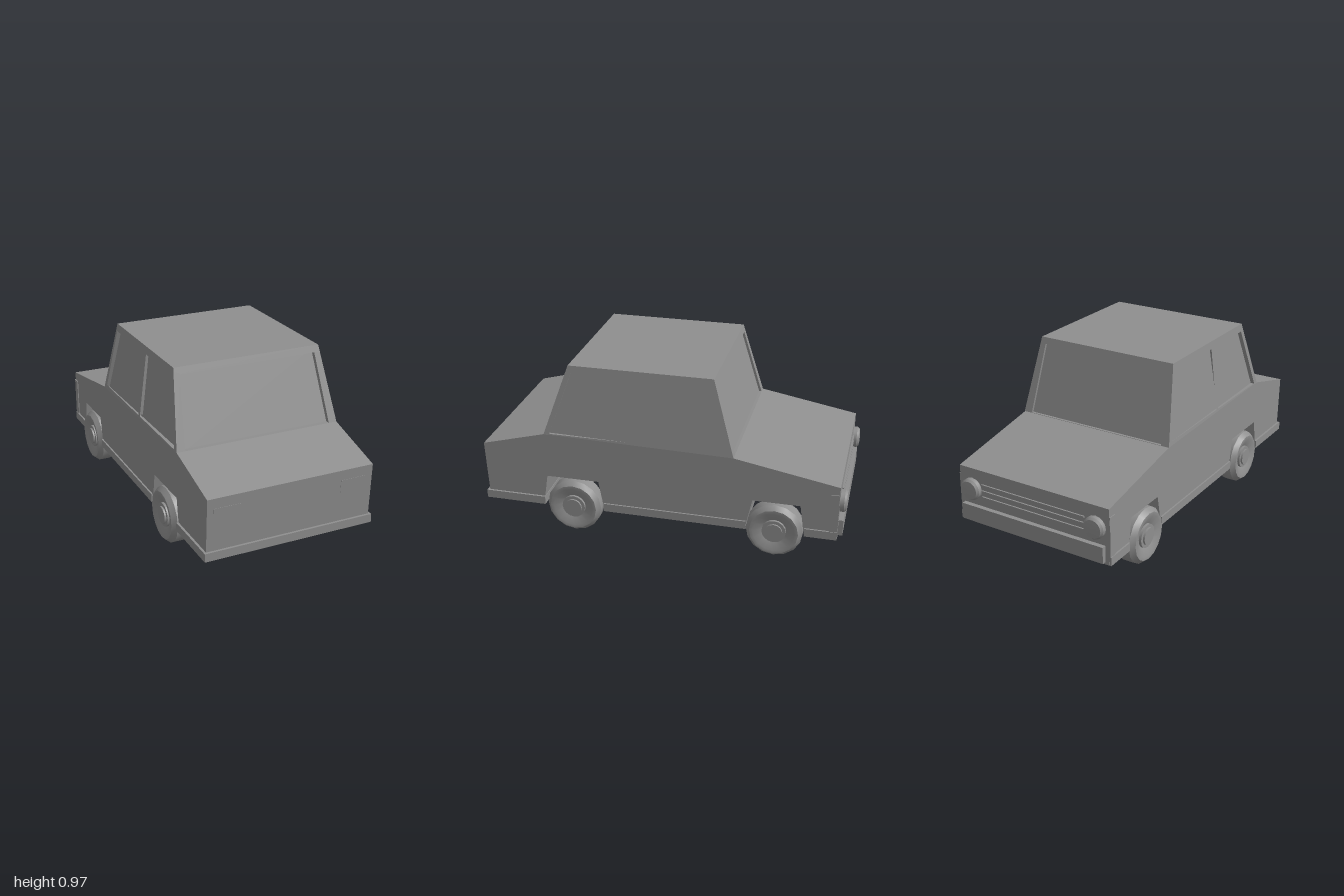
import * as THREE from 'three';
import { toCreasedNormals } from 'three/addons/utils/BufferGeometryUtils.js';

const mat = new THREE.MeshStandardMaterial({ color: 0x8f8f8f });
const lerp = THREE.MathUtils.lerp;

// Cabin surfaces lean inward between the waist and the roof
const lean = (low, high) => (y) => lerp(low, high, (y - 0.575) / 0.395);
const sideX = lean(0.463, 0.415);
const frontZ = lean(0.645, 0.505);
const rearZ = lean(-0.394, -0.28);

const toShape = (pts) => new THREE.Shape(pts.map(([a, b]) => new THREE.Vector2(a, b)));
const flipZ = (pts) => pts.map(([z, y]) => [-z, y]);

function add(group, name, geometry, x = 0, y = 0, z = 0) {
  const mesh = new THREE.Mesh(geometry, mat);
  mesh.name = name;
  mesh.position.set(x, y, z);
  group.add(mesh);
  return mesh;
}

// Moves every vertex by a rule, then refreshes the flat normals
function remap(geometry, rule) {
  const p = geometry.attributes.position;
  const v = new THREE.Vector3();
  for (let i = 0; i < p.count; i++) {
    rule(v.fromBufferAttribute(p, i));
    p.setXYZ(i, v.x, v.y, v.z);
  }
  geometry.computeVertexNormals();
  return geometry;
}

// Side profile [z, y] swept across the car, with half width given by height
function sweep(profile, halfWidth) {
  const g = new THREE.ExtrudeGeometry(toShape(flipZ(profile)), { depth: 2, bevelEnabled: false });
  g.translate(0, 0, -1).rotateY(Math.PI / 2);
  return remap(g, (v) => { v.x *= halfWidth(v.y); });
}

// Flat panel with window openings
function panel(outline, holes, depth) {
  const shape = toShape(outline);
  shape.holes = holes.map(toShape);
  return new THREE.ExtrudeGeometry(shape, { depth, bevelEnabled: false });
}

// Round part from a [radius, height] profile, smooth around and sharp at its rims
function turned(profile) {
  const g = new THREE.LatheGeometry(profile.map(([r, h]) => new THREE.Vector2(r, h)), 16);
  return toCreasedNormals(g, 0.6);
}

export function createModel() {
  const car = new THREE.Group();
  car.name = 'car';

  // Lower body with the wheel arches cut through
  add(car, 'body', sweep([
    [0.985, 0.15], [1.0, 0.48], [0.645, 0.575], [-0.39, 0.558], [-0.96, 0.455], [-0.96, 0.15],
    [-0.785, 0.15], [-0.76, 0.32], [-0.505, 0.32], [-0.47, 0.15],
    [0.315, 0.15], [0.345, 0.32], [0.638, 0.32], [0.665, 0.15],
  ], () => 0.463));

  // Sills, bumpers, rear corner guards and front indicators
  add(car, 'sill', new THREE.BoxGeometry(0.944, 0.046, 0.79), 0, 0.168, -0.079);
  add(car, 'frontBumper', new THREE.BoxGeometry(0.95, 0.046, 0.345), 0, 0.168, 0.8275);
  add(car, 'rearSkirt', new THREE.BoxGeometry(0.944, 0.046, 0.172), 0, 0.168, -0.873);
  add(car, 'rearBumper', new THREE.BoxGeometry(0.88, 0.09, 0.026), 0, 0.205, -0.972);
  for (const s of [-1, 1]) {
    add(car, 'cornerGuard', new THREE.BoxGeometry(0.01, 0.22, 0.045), s * 0.463, 0.3, -0.937);
    const indicator = add(car, 'indicator', new THREE.BoxGeometry(0.15, 0.07, 0.01), s * 0.355, 0.39, 0.9925);
    indicator.rotation.x = 0.045;
  }

  // Recessed glass block and roof
  const t = 0.026;
  const rearT = 0.014;
  add(car, 'glass', sweep([
    [frontZ(0.55) - t, 0.55], [frontZ(0.95) - t, 0.95], [rearZ(0.95) + rearT, 0.95], [rearZ(0.55) + rearT, 0.55],
  ], (y) => sideX(y) - t));
  add(car, 'roof', sweep([
    [frontZ(0.935), 0.935], [0.505, 0.97], [-0.28, 0.97], [rearZ(0.935), 0.935],
  ], sideX));

  // Side window frames; the centre pillar flares forward at its inner foot
  const sideOutline = flipZ([[0.645, 0.575], [frontZ(0.94), 0.94], [rearZ(0.94), 0.94], [-0.39, 0.558]]);
  const sideHoles = [
    [[0.612, 0.58], [0.49, 0.928], [0.155, 0.928], [0.15, 0.58]],
    [[0.13, 0.58], [0.13, 0.928], [-0.274, 0.928], [-0.362, 0.58]],
  ].map(flipZ);
  const sideT = t + 0.003;
  for (const s of [-1, 1]) {
    const g = panel(sideOutline, sideHoles, sideT).rotateY(Math.PI / 2);
    add(car, 'sideWindowFrame', remap(g, (v) => {
      const inner = s > 0 ? v.x < 0.01 : v.x > 0.01;
      if (inner && v.y < 0.6 && Math.abs(v.z - 0.15) < 0.005) v.z = 0.186;
      v.x += s > 0 ? sideX(v.y) - sideT : -sideX(v.y);
    }));
  }

  // Front and rear window frames
  for (const [name, edgeZ, low, depth, shift] of [
    ['windscreenFrame', frontZ, 0.573, t, -t],
    ['rearWindowFrame', rearZ, 0.557, rearT, 0],
  ]) {
    const outline = [[-sideX(low), low], [sideX(low), low], [sideX(0.95), 0.95], [-sideX(0.95), 0.95]];
    const hole = [[-0.416, low + 0.002], [0.416, low + 0.002], [0.385, 0.94], [-0.385, 0.94]];
    add(car, name, remap(panel(outline, [hole], depth), (v) => { v.z += edgeZ(v.y) + shift; }));
  }

  // Round lamps and thin grille bars
  const lamp = turned([[0, -0.01], [0.06, -0.01], [0.06, 0.022], [0.05, 0.034], [0.025, 0.037], [0, 0.038]]);
  lamp.rotateX(-Math.PI / 2);
  for (const s of [-1, 1]) add(car, 'lamp', lamp, s * 0.384, 0.34, -0.96);
  for (const y of [0.305, 0.34, 0.375]) {
    add(car, 'grilleBar', new THREE.BoxGeometry(0.64, 0.009, 0.016), 0, y, -0.96);
  }

  // Wheels: chamfered tyre, dished rim and raised hub, turned about x
  const wheel = turned([
    [0, -0.06], [0.13, -0.06], [0.153, -0.034], [0.153, 0.032], [0.131, 0.058], [0.112, 0.058],
    [0.065, 0.036], [0.065, 0.05], [0.047, 0.05], [0.047, 0.06], [0, 0.06],
  ]);
  wheel.rotateZ(-Math.PI / 2);
  const axle = new THREE.CylinderGeometry(0.02, 0.02, 0.8, 10).rotateZ(Math.PI / 2);
  for (const [end, z] of [['front', 0.488], ['rear', -0.627]]) {
    add(car, end + 'Axle', axle, 0, 0.155, z);
    for (const s of [-1, 1]) {
      add(car, end + 'Wheel', wheel, s * 0.428, 0.154, z).rotation.y = s > 0 ? 0 : Math.PI;
    }
  }
  return car;
}
